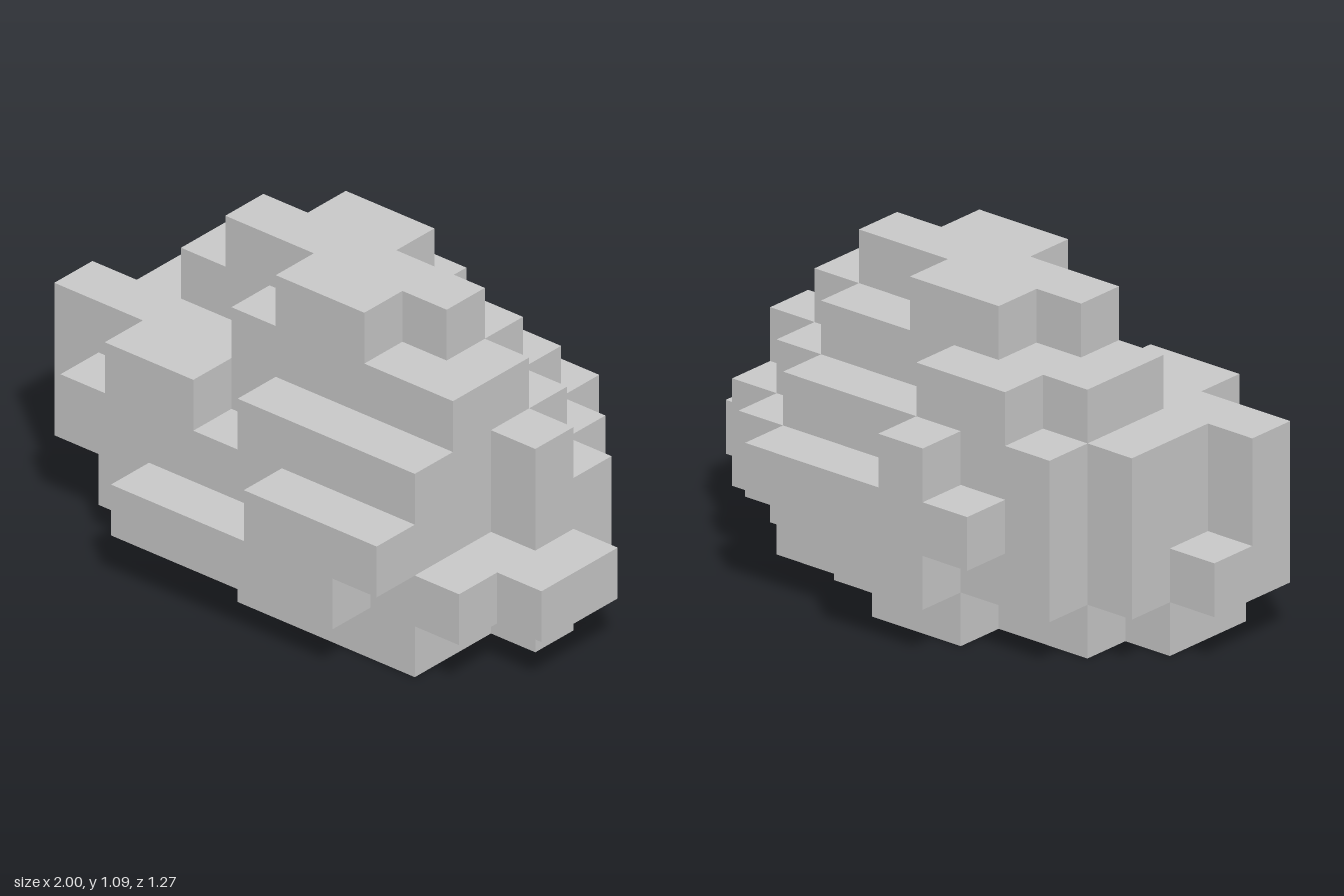
import * as THREE from 'three';
import { mergeGeometries } from 'three/addons/utils/BufferGeometryUtils.js';

const NX = 11, NZ = 7, S = 2 / NX; // grid size and edge of one block

// Each layer, bottom to top, as runs of blocks: [row from the back, first column, last column]
const LAYERS = [
  { name: 'rockFoot', runs: [[1, 4, 5], [2, 2, 8], [3, 1, 9], [4, 1, 8], [5, 5, 8]] },
  { name: 'rockLowerBody', runs: [[0, 4, 5], [1, 2, 7], [2, 1, 9], [3, 0, 10], [4, 0, 10], [5, 2, 9], [6, 3, 7]] },
  { name: 'rockMiddle', runs: [[0, 3, 7], [1, 2, 8], [2, 1, 9], [3, 1, 9], [4, 0, 8], [5, 1, 8], [6, 6, 8]] },
  { name: 'rockUpperBody', runs: [[0, 4, 4], [1, 2, 7], [2, 1, 8], [3, 1, 9], [4, 0, 8], [5, 2, 3], [5, 5, 8]] },
  { name: 'rockShoulder', runs: [[1, 3, 4], [2, 2, 7], [3, 2, 8], [4, 4, 8]] },
  { name: 'rockTop', runs: [[2, 4, 5], [3, 3, 7], [4, 5, 6]] },
];

// The six block sides: outward direction and the turn that points a plane that way
const SIDES = [
  [1, 0, 0, 0, Math.PI / 2], [-1, 0, 0, 0, -Math.PI / 2],
  [0, 1, 0, -Math.PI / 2, 0], [0, -1, 0, Math.PI / 2, 0],
  [0, 0, 1, 0, 0], [0, 0, -1, 0, Math.PI],
];

const filled = (x, y, z) =>
  !!LAYERS[y] && LAYERS[y].runs.some(([row, a, b]) => row === z && x >= a && x <= b);

// Outer faces only, so touching blocks form one closed skin
function layerGeometry(y) {
  const faces = [];
  for (const [z, a, b] of LAYERS[y].runs) {
    for (let x = a; x <= b; x++) {
      for (const [dx, dy, dz, rx, ry] of SIDES) {
        if (filled(x + dx, y + dy, z + dz)) continue;
        const face = new THREE.PlaneGeometry(S, S).rotateX(rx).rotateY(ry);
        face.translate(
          (x + 0.5 - NX / 2 + dx / 2) * S,
          (y + 0.5 + dy / 2) * S,
          (z + 0.5 - NZ / 2 + dz / 2) * S
        );
        faces.push(face);
      }
    }
  }
  return mergeGeometries(faces);
}

export function createModel() {
  const model = new THREE.Group();
  model.name = 'blockRock';
  const stone = new THREE.MeshStandardMaterial({ color: 0xcccccc, flatShading: true });
  LAYERS.forEach(({ name }, y) => {
    const layer = new THREE.Mesh(layerGeometry(y), stone);
    layer.name = name;
    model.add(layer);
  });
  return model;
}
